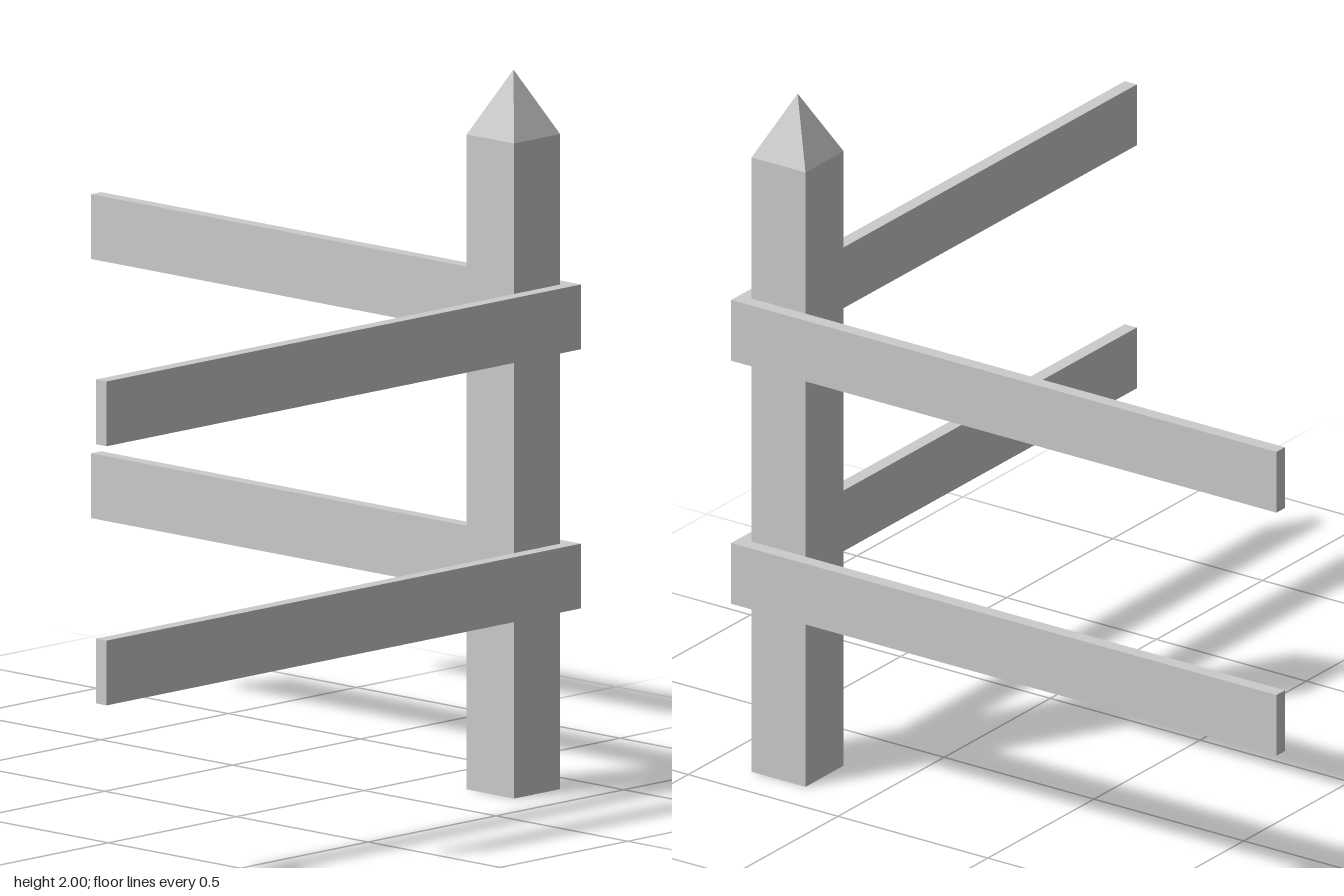
import * as THREE from 'three';

export function createModel() {
  const group = new THREE.Group();
  group.name = 'cornerFence';
  const material = new THREE.MeshStandardMaterial({ color: 0xcccccc, flatShading: true });

  const add = (name, geometry, x, y, z) => {
    const mesh = new THREE.Mesh(geometry, material);
    mesh.name = name;
    mesh.position.set(x, y, z);
    group.add(mesh);
  };

  const postWidth = 0.18, shaftHeight = 1.82, tipHeight = 0.18;
  const postX = 0.795, postZ = 0.78;
  const railHeight = 0.18, railDepth = 0.04;
  const outerX = postX + postWidth / 2; // post faces that carry the rails
  const outerZ = postZ + postWidth / 2;

  // Square corner post
  add('post', new THREE.BoxGeometry(postWidth, shaftHeight, postWidth), postX, shaftHeight / 2, postZ);

  // Pyramid tip, turned so its base lines up with the post
  const tip = new THREE.ConeGeometry(postWidth / Math.SQRT2, tipHeight, 4, 1, true);
  tip.rotateY(Math.PI / 4);
  add('postTip', tip, postX, shaftHeight + tipHeight / 2, postZ);

  // Two levels of rails, the front one covering the end of the side one
  const frontStart = -0.93, sideStart = -0.91;
  const frontLength = outerX + railDepth - frontStart;
  const sideLength = outerZ - sideStart;
  for (const [level, y] of [['lower', 0.592], ['upper', 1.312]]) {
    add(`${level}FrontRail`, new THREE.BoxGeometry(frontLength, railHeight, railDepth),
      frontStart + frontLength / 2, y, outerZ + railDepth / 2);
    add(`${level}SideRail`, new THREE.BoxGeometry(railDepth, railHeight, sideLength),
      outerX + railDepth / 2, y, sideStart + sideLength / 2);
  }

  return group;
}
